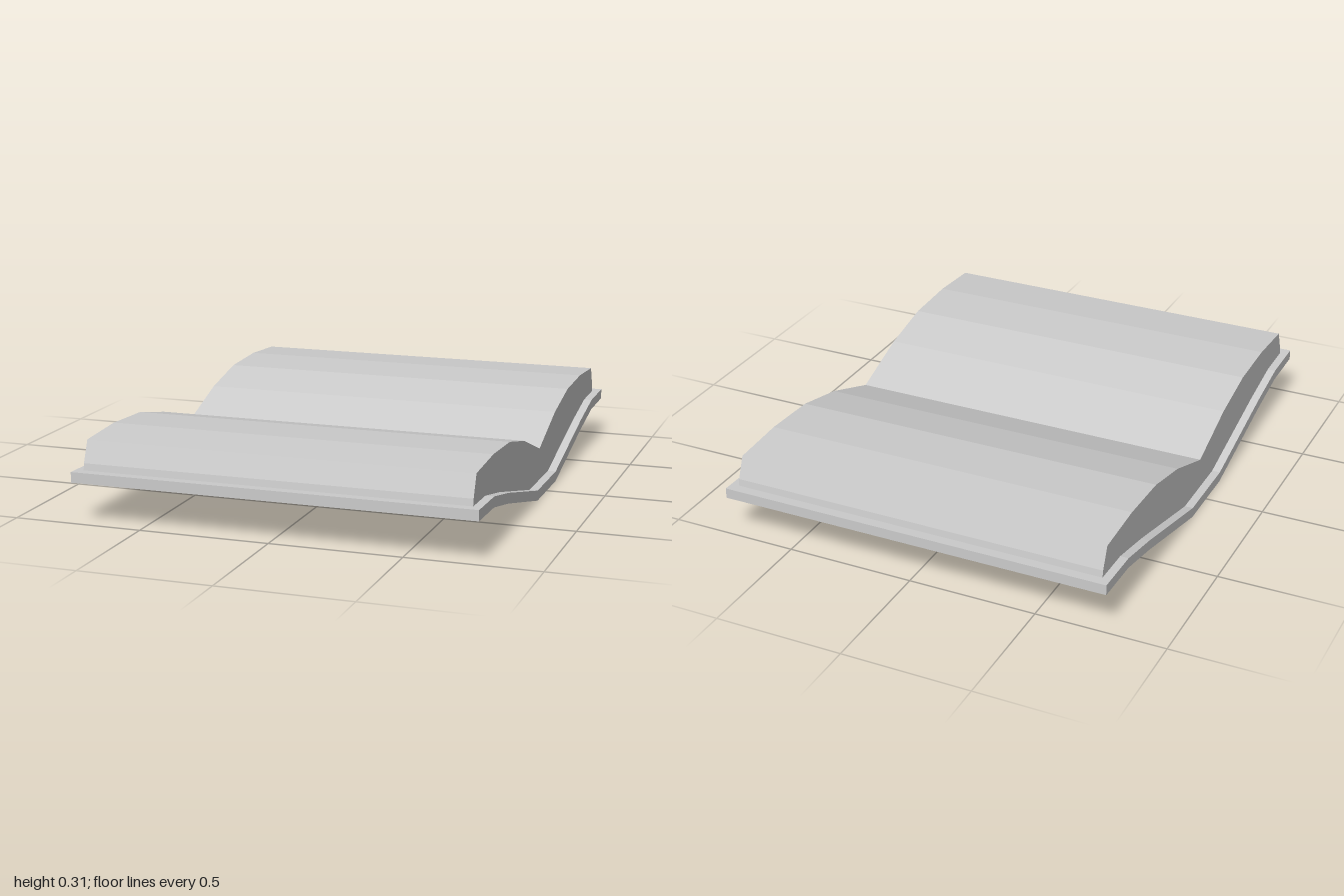
import * as THREE from 'three';

const material = new THREE.MeshStandardMaterial({ color: 0xcccccc, flatShading: true });

// Extrude a mirrored (z, y) profile along x; lower and upper edges run from the spine outward
function profileSlab(name, lower, upper, width) {
  const right = [...lower, ...[...upper].reverse()];
  const left = right.filter(([z]) => z > 0).reverse().map(([z, y]) => [-z, y]);
  const shape = new THREE.Shape([...right, ...left].map(([z, y]) => new THREE.Vector2(z, y)));
  const geometry = new THREE.ExtrudeGeometry(shape, { depth: width, bevelEnabled: false });
  geometry.translate(0, 0, -width / 2);
  geometry.rotateY(-Math.PI / 2);
  const mesh = new THREE.Mesh(geometry, material);
  mesh.name = name;
  return mesh;
}

export function createModel() {
  const book = new THREE.Group();
  book.name = 'openBook';

  // Bent cover with a flat spine
  book.add(profileSlab('cover',
    [[0.15, 0], [0.6, 0.11], [0.8, 0.15], [1, 0.155]],
    [[0.15, 0.04], [0.6, 0.15], [0.8, 0.19], [1, 0.195]],
    1.54));

  // Two curved page blocks meeting in the central valley
  book.add(profileSlab('pages',
    [[0.15, 0.037], [0.6, 0.147], [0.8, 0.187], [0.96, 0.19]],
    [[0, 0.167], [0.25, 0.257], [0.47, 0.305], [0.7, 0.315], [0.922, 0.302], [0.955, 0.22]],
    1.476));

  return book;
}
